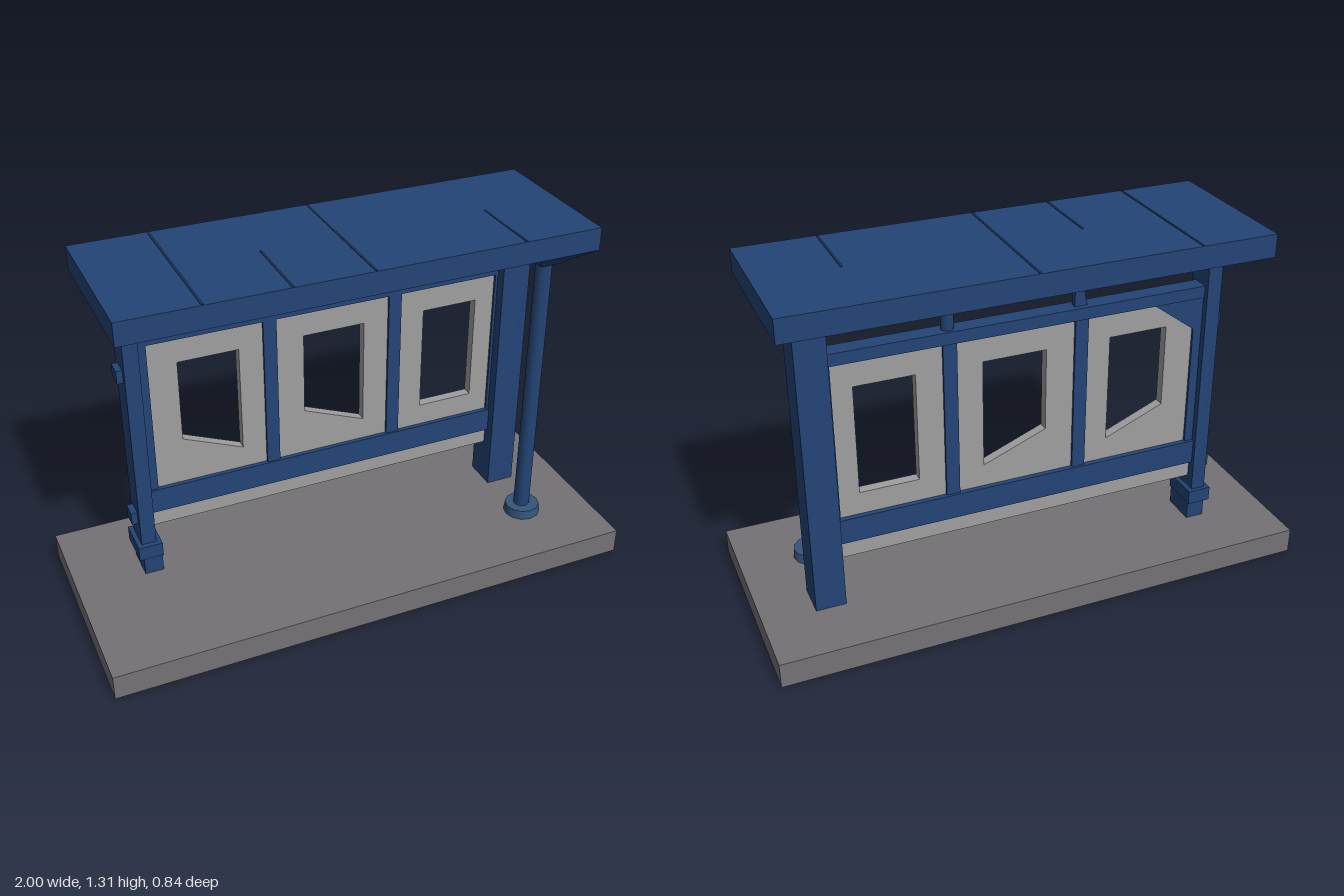
import * as THREE from 'three';

const mat = (name, color) => Object.assign(new THREE.MeshStandardMaterial({ color }), { name });

export function createModel() {
  const group = new THREE.Group();
  const blue = mat('navy blue paint', 0x234475);
  const seamBlue = mat('dark seam', 0x1a3358);
  const footBlue = mat('steel blue', 0x34557a);
  const stone = mat('concrete grey', 0x757276);
  const panelGrey = mat('panel grey', 0x9f9f9f);
  const ceilingGrey = mat('ceiling grey', 0x858383);

  const add = (name, geometry, material) => {
    const mesh = new THREE.Mesh(geometry, material);
    mesh.name = name;
    group.add(mesh);
    return mesh;
  };
  // Box given by its limits on each axis
  const box = (name, material, x0, x1, y0, y1, z0, z1) => {
    const g = new THREE.BoxGeometry(x1 - x0, y1 - y0, z1 - z0);
    g.translate((x0 + x1) / 2, (y0 + y1) / 2, (z0 + z1) / 2);
    return add(name, g, material);
  };
  // Box whose bottom shrinks to a smaller rectangle [x0, x1, z0, z1]
  const bracket = (name, y0, y1, top, bottom) => {
    const g = new THREE.BoxGeometry(1, 1, 1).toNonIndexed();
    const p = g.attributes.position;
    for (let i = 0; i < p.count; i++) {
      const up = p.getY(i) > 0;
      const r = up ? top : bottom;
      p.setXYZ(i, p.getX(i) > 0 ? r[1] : r[0], up ? y1 : y0, p.getZ(i) > 0 ? r[3] : r[2]);
    }
    g.computeVertexNormals();
    return add(name, g, blue);
  };
  const outline = (pts) => pts.map(([x, y]) => new THREE.Vector2(x, y));
  const plate = (name, material, pts, z0, z1, hole) => {
    const shape = new THREE.Shape(outline(pts));
    if (hole) shape.holes.push(new THREE.Path(outline(hole)));
    const g = new THREE.ExtrudeGeometry(shape, { depth: z1 - z0, bevelEnabled: false });
    g.translate(0, 0, z0);
    return add(name, g, material);
  };

  // Ground slab
  box('baseSlab', stone, -1, 1, 0, 0.095, -0.42, 0.42);

  // Roof slab with fine seams on top
  box('roof', blue, -0.835, 0.895, 1.225, 1.31, -0.36, 0.235);
  for (const [x, z0, z1] of [[-0.55, -0.36, 0.23], [0.04, -0.36, 0.23], [-0.25, -0.06, 0.23], [0.6, -0.06, 0.23]]) {
    box('roofSeam', seamBlue, x - 0.004, x + 0.004, 1.309, 1.312, z0, z1);
  }

  // Ceiling panel with cut corners
  const ceiling = plate('ceilingPanel', ceilingGrey, [
    [-0.63, -0.345], [0.74, -0.345], [0.8, -0.28], [0.8, 0.14],
    [0.74, 0.2], [-0.63, 0.2], [-0.7, 0.14], [-0.7, -0.28],
  ], 0, 0.006);
  ceiling.rotation.x = Math.PI / 2;
  ceiling.position.y = 1.226;

  // Right post, with its bracket
  box('rightPost', blue, 0.7, 0.81, 0.095, 1.23, -0.19, -0.06);
  bracket('rightPostBracket', 1.165, 1.225, [0.69, 0.89, -0.355, -0.06], [0.7, 0.81, -0.19, -0.06]);

  // Left post, with collars and bracket
  box('leftPost', blue, -0.745, -0.69, 0.095, 1.23, -0.185, -0.075);
  box('leftPostFoot', blue, -0.745, -0.675, 0.095, 0.17, -0.19, -0.06);
  box('leftPostCollar', blue, -0.762, -0.672, 0.165, 0.22, -0.2, -0.055);
  for (const y of [0.325, 0.92]) box('leftPostLug', blue, -0.767, -0.74, y - 0.025, y + 0.025, -0.16, -0.1);
  bracket('leftPostBracket', 1.17, 1.225, [-0.832, -0.685, -0.3, -0.06], [-0.747, -0.688, -0.187, -0.073]);

  // Round front pole on a disc
  const pole = add('frontPole', new THREE.CylinderGeometry(0.03, 0.031, 1.1, 16), blue);
  pole.position.set(0.733, 0.67, 0.144);
  const foot = add('frontPoleFoot', new THREE.CylinderGeometry(0.066, 0.07, 0.037, 12), footBlue);
  foot.position.set(0.733, 0.112, 0.149);
  bracket('frontPoleBracket', 1.17, 1.225, [0.66, 0.89, 0.11, 0.234], [0.703, 0.763, 0.114, 0.174]);

  // Wall frame: rails, stiles and mullions
  box('topRail', blue, -0.7, 0.71, 1.02, 1.065, -0.165, -0.1);
  box('bottomRail', blue, -0.7, 0.71, 0.335, 0.43, -0.17, -0.095);
  for (const [x0, x1] of [[-0.7, -0.657], [-0.235, -0.185], [0.252, 0.302], [0.69, 0.71]]) {
    box('mullion', blue, x0, x1, 0.42, 1.03, -0.16, -0.102);
  }

  // Three panels with openings
  const panels = [
    [-0.66, -0.23, [[-0.55, 0.61], [-0.325, 0.515], [-0.325, 0.925], [-0.55, 0.925]]],
    [-0.19, 0.255, [[-0.08, 0.61], [0.157, 0.515], [0.157, 0.925], [-0.08, 0.925]]],
    [0.3, 0.7, [[0.398, 0.515], [0.615, 0.515], [0.615, 0.925], [0.398, 0.925]]],
  ];
  for (const [x0, x1, hole] of panels) {
    plate('wallPanel', panelGrey, [[x0, 0.425], [x1, 0.425], [x1, 1.025], [x0, 1.025]], -0.15, -0.112, hole);
  }

  // Skirt below the wall and the rear corner gusset
  box('skirt', panelGrey, -0.69, 0.7, 0.265, 0.34, -0.15, -0.115);
  plate('cornerGusset', blue, [[-0.67, 0.89], [-0.48, 1.03], [-0.67, 1.03]], -0.16, -0.151);

  // Struts between wall and roof
  const strut = add('roofStrut', new THREE.CylinderGeometry(0.023, 0.023, 0.17, 10), blue);
  strut.position.set(0.276, 1.143, -0.132);
  plate('taperedStrut', blue, [[-0.235, 1.06], [-0.187, 1.06], [-0.187, 1.226], [-0.2, 1.226]], -0.145, -0.12);

  return group;
}
